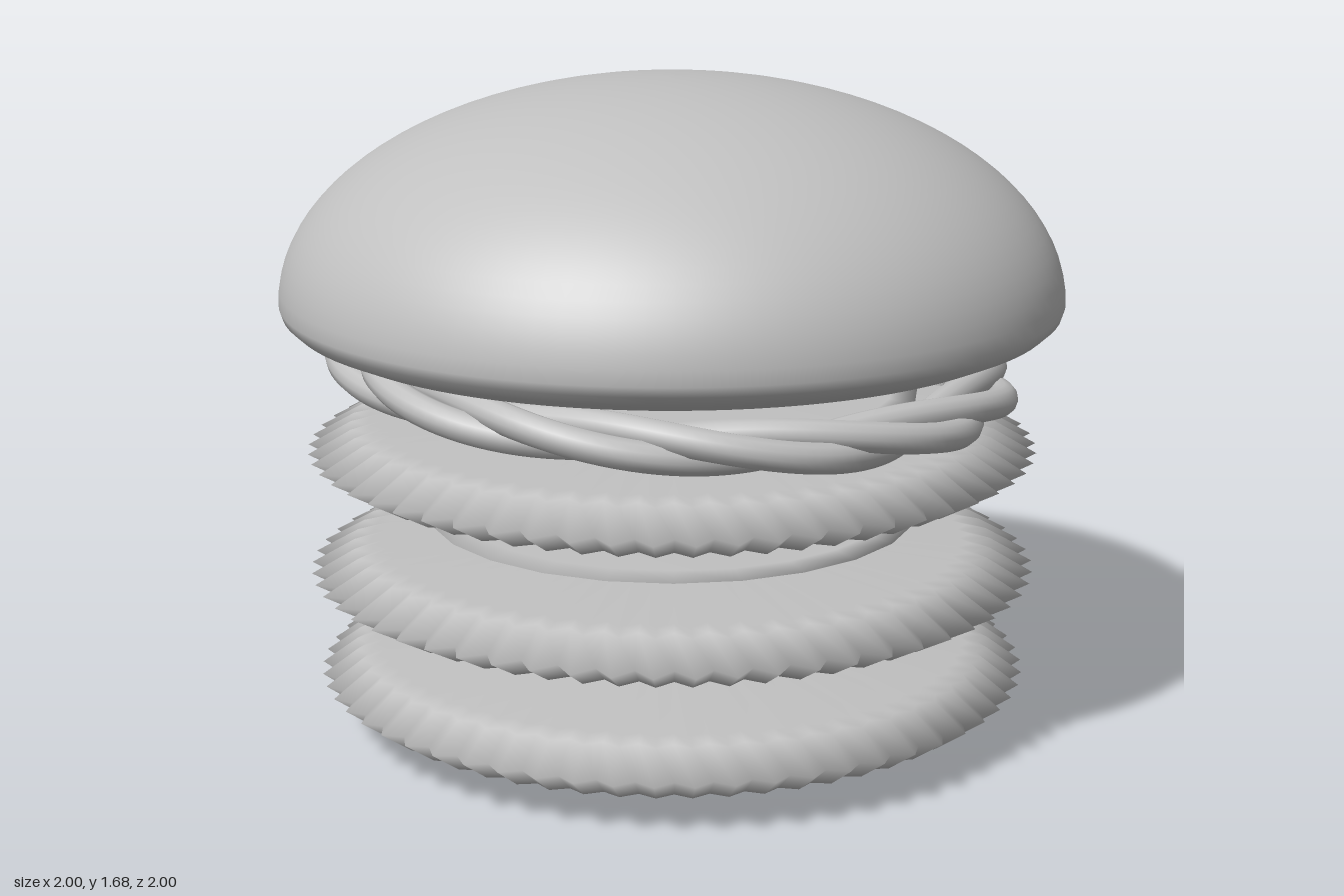
import * as THREE from 'three';
import { mergeVertices } from 'three/addons/utils/BufferGeometryUtils.js';

const TAU = Math.PI * 2;

// Revolve a bottom-to-top profile; alternate spokes are pulled inwards to make ruffles
function ruffledDisc(profile, teeth, depth) {
  const points = profile.map(([r, y]) => new THREE.Vector2(r, y));
  let geo = new THREE.LatheGeometry(points, teeth * 2);
  const pos = geo.attributes.position;
  for (let i = 0; i < pos.count; i++) {
    const spoke = Math.floor(i / points.length);
    if (spoke % 2 === 0) continue;
    const r = Math.hypot(pos.getX(i), pos.getZ(i));
    const k = 1 - depth * r * r;
    pos.setX(i, pos.getX(i) * k);
    pos.setZ(i, pos.getZ(i) * k);
  }
  geo.deleteAttribute('uv');
  geo.deleteAttribute('normal');
  geo = mergeVertices(geo, 1e-5);
  geo.computeVertexNormals();
  return geo;
}

// Lens-like layer with a pointed rim
function layerProfile(y, half, shoulder, rim) {
  return [
    [0, y - half], [0.4, y - half * 0.77], [0.78, y - shoulder * 1.05], [0.83, y - shoulder * 0.9],
    [rim, y],
    [0.83, y + shoulder * 0.9], [0.78, y + shoulder * 1.05], [0.4, y + half * 0.77], [0, y + half],
  ];
}

// One strand of the tilted, twisted ring
class Strand extends THREE.Curve {
  constructor(phase) {
    super();
    this.phase = phase;
  }
  getPoint(u, target = new THREE.Vector3()) {
    const t = u * TAU;
    const twist = this.phase - 4 * t;
    const r = 0.795 + 0.06 * Math.cos(twist);
    const x = r * Math.sin(t);
    return target.set(x, 0.945 - 0.065 * x + 0.028 * Math.sin(twist), r * Math.cos(t));
  }
}

export function createModel() {
  const model = new THREE.Group();
  const grey = new THREE.MeshStandardMaterial({ color: 0xc0c0c0 });
  grey.name = 'plain grey';
  const add = (name, geo) => {
    const mesh = new THREE.Mesh(geo, grey);
    mesh.name = name;
    model.add(mesh);
  };

  // Bottom bun and the two patties
  add('bottomBun', ruffledDisc(layerProfile(0.14, 0.137, 0.07, 0.92), 60, 0.045));
  add('lowerPatty', ruffledDisc(layerProfile(0.415, 0.108, 0.067, 0.94), 60, 0.07));
  add('upperPatty', ruffledDisc(layerProfile(0.733, 0.108, 0.067, 0.94), 60, 0.07));

  // Thin cheese slices
  [['lowerCheese', 0.546], ['upperCheese', 0.866]].forEach(([name, y]) => {
    const profile = [[0, y - 0.017], [0.57, y - 0.011], [0.635, y], [0.57, y + 0.011], [0, y + 0.017]];
    add(name, ruffledDisc(profile, 12, 0));
  });

  // Twisted topping ring
  for (let i = 0; i < 3; i++) {
    add('toppingStrand' + (i + 1), new THREE.TubeGeometry(new Strand((i / 3) * TAU), 160, 0.038, 12, true));
  }

  // Top bun: shallow underside, rounded lip and a half-ellipsoid dome
  const bun = [[0, 0.95], [0.3, 0.956], [0.57, 0.98], [0.78, 1.013], [0.9, 1.042], [0.965, 1.07], [0.992, 1.095]]
    .map(([r, y]) => new THREE.Vector2(r, y));
  for (let i = 0; i <= 24; i++) {
    const a = (i / 24) * Math.PI / 2;
    bun.push(new THREE.Vector2(i === 24 ? 0 : Math.cos(a), 1.12 + 0.56 * Math.sin(a)));
  }
  add('topBun', new THREE.LatheGeometry(bun, 96));

  return model;
}
